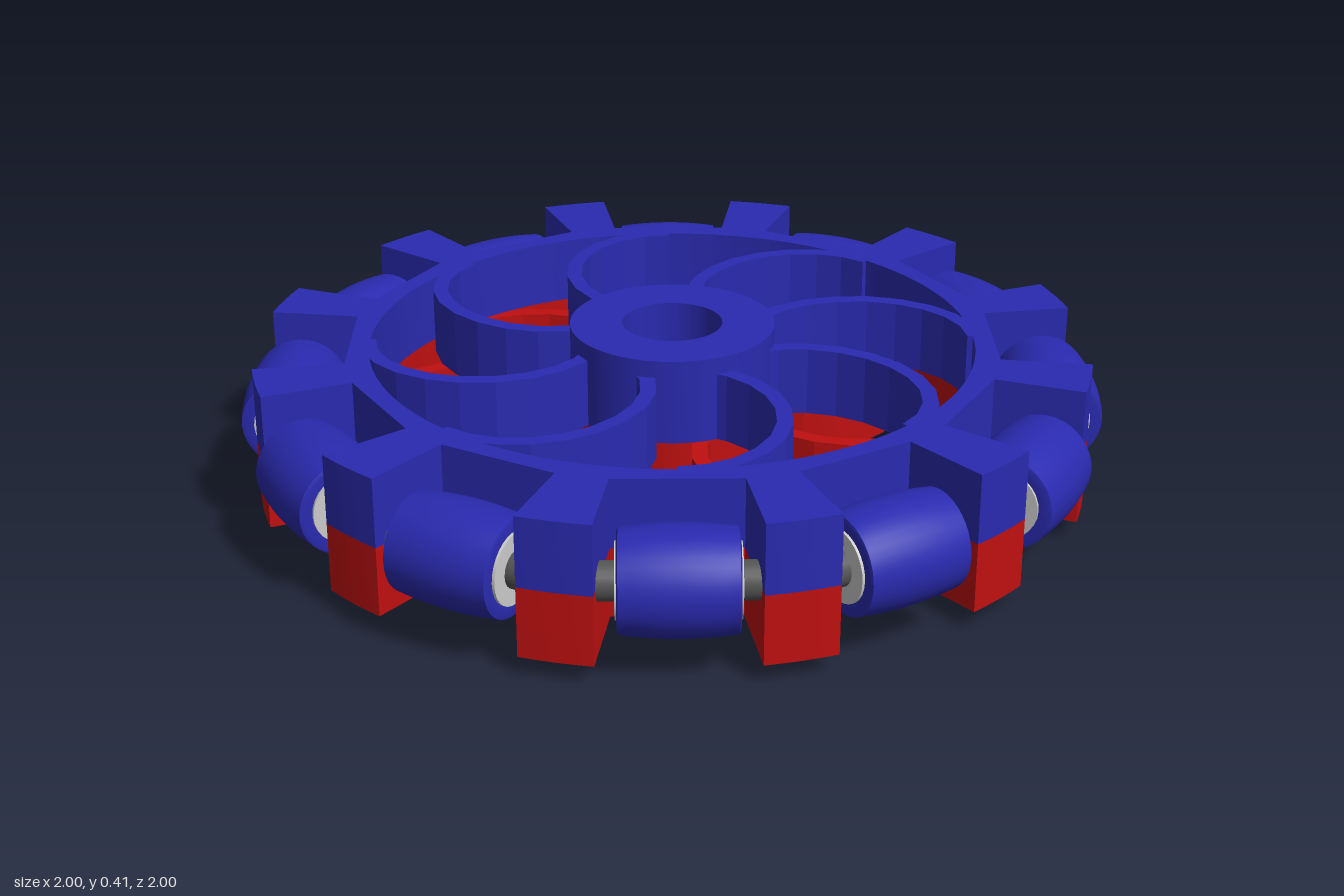
import * as THREE from 'three';
import { toCreasedNormals } from 'three/addons/utils/BufferGeometryUtils.js';

const MID = 0.205;         // height of the plane where the two halves meet
const COUNT = 12;          // rollers around the rim
const SPOKES = 8;

const paint = (color) => new THREE.MeshStandardMaterial({ color });

// Extrudes a plan shape upwards from y = 0
function slab(shape, height, crease = 0.4, curveSegments = 48) {
  const g = new THREE.ExtrudeGeometry(shape, { depth: height, bevelEnabled: false, curveSegments });
  g.rotateX(-Math.PI / 2);
  return toCreasedNormals(g, crease);
}

function circleHole(shape, r) {
  shape.holes.push(new THREE.Path().absarc(0, 0, r, 0, Math.PI * 2, true));
  return shape;
}

// Rim outline: straight-sided pockets between teeth that widen outwards
function rimShape() {
  const pts = [];
  const step = (Math.PI * 2) / COUNT;
  for (let k = 0; k < COUNT; k++) {
    const a = k * step;
    const turn = (x, y) => pts.push(new THREE.Vector2(
      x * Math.cos(a) - y * Math.sin(a), x * Math.sin(a) + y * Math.cos(a)));
    turn(0.745, -0.14);
    turn(0.745, 0.14);
    for (let i = 0; i <= 4; i++) {
      const t = step / 2 + (i / 4 - 0.5) * 0.168;
      turn(0.965 * Math.cos(t), 0.965 * Math.sin(t));
    }
  }
  return circleHole(new THREE.Shape(pts), 0.7);
}

// Half-ellipse band curling from the hub to the rim
function spokeShape(side) {
  const pts = [];
  const n = 11, half = 0.018;
  const add = (i, d) => {
    const t = (i / n) * Math.PI;
    pts.push(new THREE.Vector2(side * (0.238 + d) * Math.sin(t), 0.437 + (0.268 + d) * Math.cos(t)));
  };
  for (let i = 0; i <= n; i++) add(i, half);
  for (let i = n; i >= 0; i--) add(i, -half);
  return new THREE.Shape(pts);
}

// One half of the wheel, standing on the middle plane or hanging below it
function wheelHalf(name, color, up) {
  const half = new THREE.Group();
  half.name = name;
  const mat = paint(color);
  const add = (part, shape, height, crease) => {
    const m = new THREE.Mesh(slab(shape, height, crease), mat);
    m.name = part;
    m.position.y = up ? MID : MID - height;
    half.add(m);
    return m;
  };
  add('rim', rimShape(), 0.16);
  const disc = new THREE.Shape().absarc(0, 0, 0.237, 0, Math.PI * 2, false);
  add('hub', circleHole(disc, 0.116), MID - (up ? 0.005 : 0), 0.4);
  for (let k = 0; k < SPOKES; k++) {
    const spoke = add('curvedSpoke', spokeShape(up ? -1 : 1), 0.16, 0.1);
    spoke.rotation.y = (k * Math.PI * 2) / SPOKES;
  }
  return half;
}

export function createModel() {
  const wheel = new THREE.Group();
  wheel.name = 'rollerWheel';
  wheel.add(wheelHalf('upperHalf', 0x2a2ab0, true));
  wheel.add(wheelHalf('lowerHalf', 0xc01010, false));

  // Barrel roller with a recess at each end, lying along x
  const profile = [[0.072, -0.122], [0.1, -0.125]];
  for (let i = 0; i <= 8; i++) {
    const x = -0.122 + (i / 8) * 0.244;
    profile.push([0.118 - 0.6 * x * x, x]);
  }
  profile.push([0.1, 0.125], [0.072, 0.122]);
  const barrel = toCreasedNormals(
    new THREE.LatheGeometry(profile.map(([r, y]) => new THREE.Vector2(r, y)), 36), 0.6);
  const bearing = new THREE.CylinderGeometry(0.08, 0.08, 0.258, 28);
  const axle = new THREE.CylinderGeometry(0.042, 0.042, 0.36, 20);
  const parts = [
    ['rollerBarrel', barrel, paint(0x2a2ab0)],
    ['rollerBearing', bearing, paint(0xcccccc)],
    ['rollerAxle', axle, paint(0x555555)],
  ];
  parts.forEach(([, g]) => g.rotateZ(Math.PI / 2));

  // Rollers around the rim
  for (let k = 0; k < COUNT; k++) {
    const arm = new THREE.Group();
    arm.name = 'roller';
    for (const [name, geometry, material] of parts) {
      const m = new THREE.Mesh(geometry, material);
      m.name = name;
      m.position.set(0, MID, 0.882);
      arm.add(m);
    }
    arm.rotation.y = (k * Math.PI * 2) / COUNT;
    wheel.add(arm);
  }
  return wheel;
}
